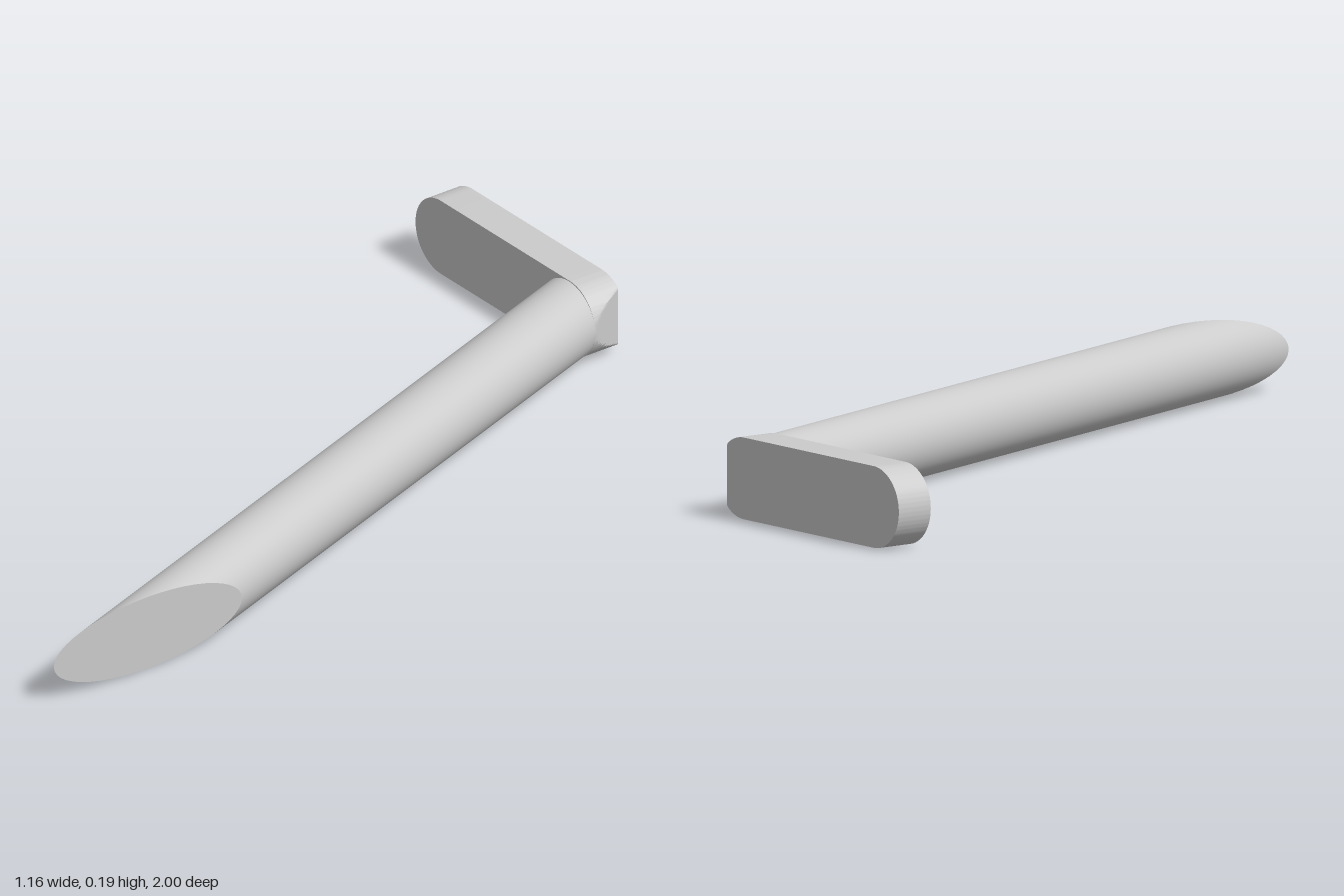
import * as THREE from 'three';
import { toCreasedNormals } from 'three/addons/utils/BufferGeometryUtils.js';

const material = new THREE.MeshStandardMaterial({ color: 0xcccccc });
const ANGLE = THREE.MathUtils.degToRad(20); // slant of the rod in plan
const MID = 0.0925;                         // height of the centre line
const BACK = -1, FRONT = -0.91;             // faces of the plate
const AXIS_X = -0.018;                      // rod axis where it meets the plate

// Move every vertex of a geometry by a rule
function deform(geometry, rule) {
  const pos = geometry.attributes.position;
  const v = new THREE.Vector3();
  for (let i = 0; i < pos.count; i++) {
    v.fromBufferAttribute(pos, i);
    rule(v);
    pos.setXYZ(i, v.x, v.y, v.z);
  }
  return toCreasedNormals(geometry, 0.28);
}

// Round-ended plate, its right end trimmed by a plane tangent to the rod
function makePlate() {
  const r = MID, left = -0.58 + r, right = 0.078 - r;
  const outline = new THREE.Shape();
  outline.absarc(right, MID, r, -Math.PI / 2, Math.PI / 2, false);
  outline.absarc(left, MID, r, Math.PI / 2, Math.PI * 1.5, false);
  const geometry = new THREE.ExtrudeGeometry(outline, {
    depth: FRONT - BACK, steps: 8, curveSegments: 28, bevelEnabled: false,
  });
  geometry.translate(0, 0, BACK);
  return deform(geometry, (v) => {
    v.x = Math.min(v.x, 0.078 + (v.z - FRONT) * Math.tan(ANGLE));
  });
}

// Round rod, cut by the plate plane at one end and by a side plane at the other
function makeRod() {
  const s = Math.sin(ANGLE), c = Math.cos(ANGLE);
  const geometry = new THREE.CylinderGeometry(0.0905, 0.0905, 1, 48);
  return deform(geometry, (v) => {
    const x = AXIS_X + v.x * c, z = FRONT - v.x * s;
    const t = v.y > 0 ? (0.58 - x) / s : (FRONT - 0.005 - z) / c;
    v.set(x + s * t, MID - v.z, z + c * t);
  });
}

export function createModel() {
  const model = new THREE.Group();
  model.name = 'leverHandle';
  for (const [name, geometry] of [['plate', makePlate()], ['rod', makeRod()]]) {
    const mesh = new THREE.Mesh(geometry, material);
    mesh.name = name;
    model.add(mesh);
  }
  return model;
}
